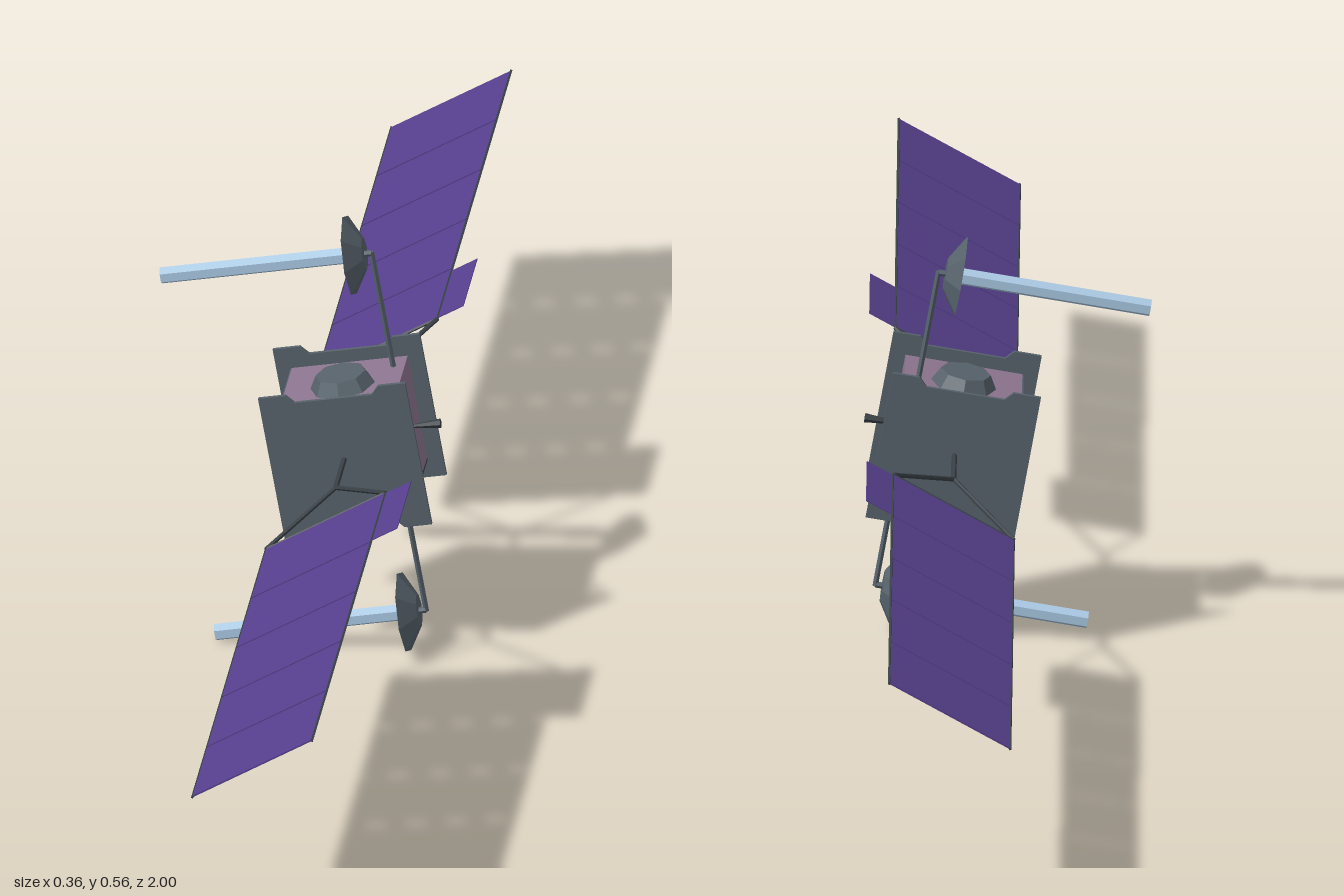
import * as THREE from 'three';

const mat = (color) => new THREE.MeshStandardMaterial({ color, flatShading: true });
const slate = mat(0x56626b), dark = mat(0x3a4146), pink = mat(0x8d7590);
const purple = mat(0x553f8c), blue = mat(0xa9c8e2);
purple.side = THREE.DoubleSide;

function add(parent, name, geometry, material, x = 0, y = 0, z = 0) {
  const mesh = new THREE.Mesh(geometry, material);
  mesh.name = name;
  mesh.position.set(x, y, z);
  parent.add(mesh);
  return mesh;
}

// Straight round bar between two points
function rod(parent, name, a, b, radius, material, sides = 6) {
  const from = new THREE.Vector3(...a), to = new THREE.Vector3(...b);
  const dir = to.clone().sub(from);
  const mesh = add(parent, name, new THREE.CylinderGeometry(radius, radius, dir.length(), sides), material);
  mesh.position.copy(from).lerp(to, 0.5);
  mesh.quaternion.setFromUnitVectors(new THREE.Vector3(0, 1, 0), dir.normalize());
  return mesh;
}

// Cylinder or cone lying along x; rPlus is the radius at the +x end
function alongX(parent, name, rPlus, rMinus, x0, x1, y, z, sides, material) {
  const geometry = new THREE.CylinderGeometry(rPlus, rMinus, x1 - x0, sides).rotateZ(-Math.PI / 2);
  return add(parent, name, geometry, material, (x0 + x1) / 2, y, z);
}

// Side plate outline with a shallow notch in the top and bottom edges
function plateGeometry() {
  const w = 0.095, h = 0.099, n = 0.088;
  const top = [[w, h], [0.06, h], [0.05, n], [-0.05, n], [-0.06, h], [-w, h]];
  const outline = [...top, ...top.map(([x, y]) => [-x, -y])];
  const shape = new THREE.Shape(outline.map(([x, y]) => new THREE.Vector2(x, y)));
  return new THREE.ExtrudeGeometry(shape, { depth: 0.005, bevelEnabled: false }).translate(0, 0, -0.0025);
}

function createBus() {
  const bus = new THREE.Group();
  bus.name = 'bus';
  add(bus, 'body', new THREE.BoxGeometry(0.15, 0.143, 0.14), pink);
  add(bus, 'bottomPanel', new THREE.BoxGeometry(0.15, 0.004, 0.14), dark, 0, -0.0725);
  add(bus, 'rearPanel', new THREE.BoxGeometry(0.003, 0.14, 0.14), slate, -0.0755);
  for (const s of [-1, 1]) {
    add(bus, 'sidePlate', plateGeometry(), slate, 0, 0, s * 0.0735);
    alongX(bus, 'rearTank', 0.026, 0.022, -0.09, -0.075, s * 0.034, 0, 8, dark);
  }
  add(bus, 'topDome', new THREE.CylinderGeometry(0.032, 0.042, 0.018, 8), slate, 0, 0.08);

  // Engine bell
  const bell = [[0, -0.07], [0.009, -0.07], [0.012, -0.088], [0.016, -0.105], [0.019, -0.128], [0, -0.112]]
    .reverse().map(([r, y]) => new THREE.Vector2(r, y));
  add(bus, 'engineBell', new THREE.LatheGeometry(bell, 8), dark);

  alongX(bus, 'frontHorn', 0.006, 0.002, 0.074, 0.115, 0.005, 0, 6, dark);

  // Upper and lower masts, each with a dish and a long feed tube
  for (const s of [1, -1]) {
    const z = -0.042 * s, y = 0.2306 * s;
    rod(bus, 'mast', [0.06, 0.065 * s, z], [0.06, y + 0.002 * s, z], 0.0035, slate, 4);
    alongX(bus, 'dishMount', 0.004, 0.004, 0.048, 0.06, y, z, 6, slate);
    alongX(bus, 'dish', 0.021, 0.0535, 0.0315, 0.051, y, z, 8, slate);
    alongX(bus, 'feedTube', 0.0112, 0.0112, -0.212, 0.034, y, z, 6, blue).rotation.x = Math.PI / 6;
  }
  return bus;
}

// Solar wing reaching outwards along s * z
function createWing(s) {
  const wing = new THREE.Group();
  wing.name = 'solarWing';
  const half = 0.088, start = 0.26, pitch = 0.148;
  rod(wing, 'wingStem', [0, 0, s * 0.07], [0, 0, s * 0.16], 0.0035, dark);
  for (const e of [-1, 1]) {
    rod(wing, 'wingBrace', [0, 0, s * 0.16], [e * half, 0, s * start], 0.003, dark);
    rod(wing, 'wingEdge', [e * half, 0, s * start], [e * half, 0, s], 0.002, dark, 4);
  }
  rod(wing, 'wingRootBar', [-half, 0, s * start], [half, 0, s * start], 0.002, dark, 4);
  for (let i = 0; i < 5; i++) {
    add(wing, 'solarPanel', new THREE.BoxGeometry(2 * half, 0.002, pitch - 0.004), purple,
      0, 0, s * (start + pitch * (i + 0.5)));
  }
  // Short extra panel beside the first one
  add(wing, 'sidePanel', new THREE.BoxGeometry(0.038, 0.001, 0.14), purple, half + 0.019, 0, s * 0.332);
  return wing;
}

export function createModel() {
  const model = new THREE.Group();
  model.name = 'satellite';
  const bus = createBus();
  bus.position.set(0.068, 0.275, 0);
  bus.rotation.z = THREE.MathUtils.degToRad(10);
  model.add(bus);
  for (const s of [-1, 1]) {
    const wing = createWing(s);
    wing.position.set(0.067, 0.278, 0);
    wing.rotation.z = THREE.MathUtils.degToRad(30);
    model.add(wing);
  }
  return model;
}
